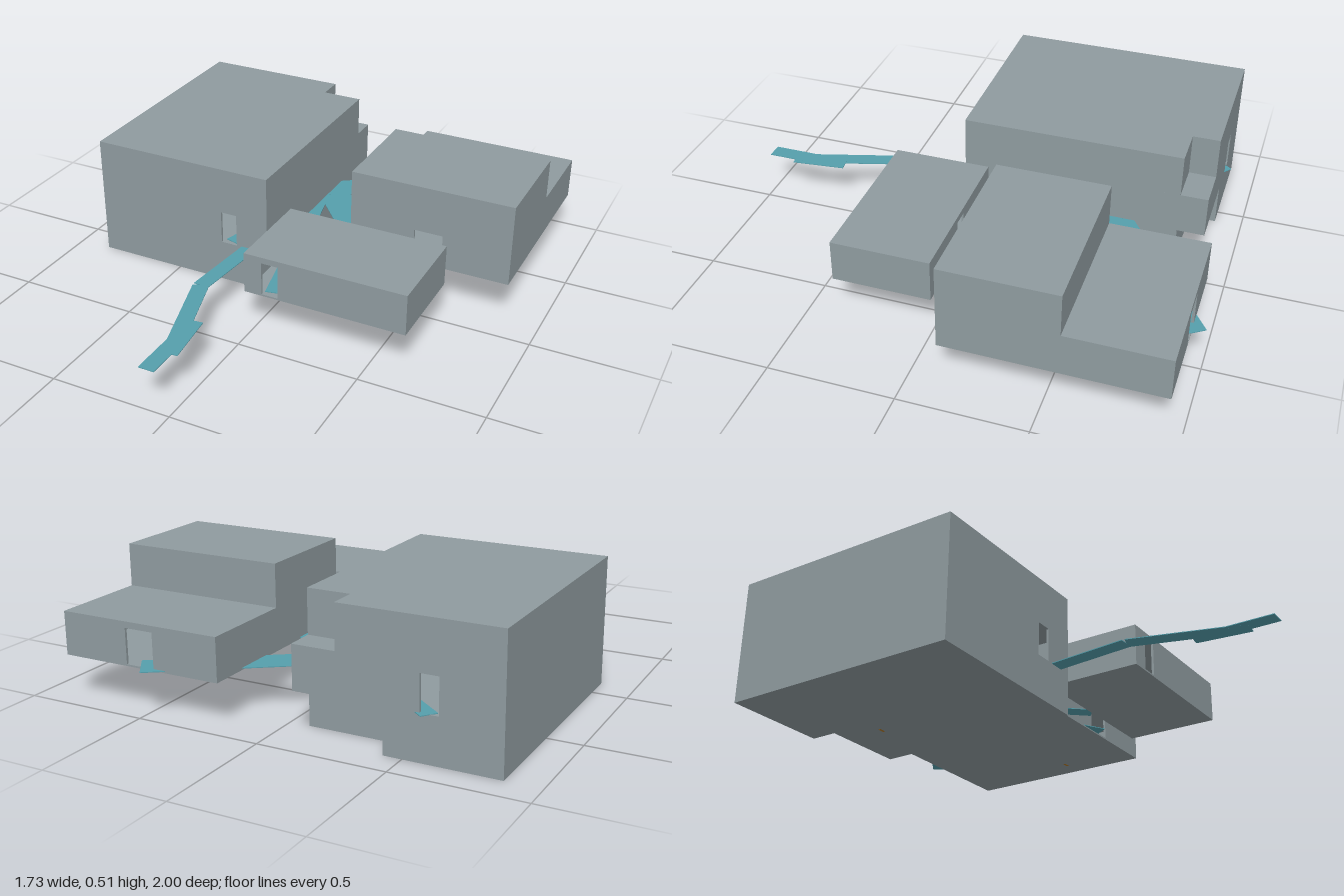
import * as THREE from 'three';

const STOREY = 0.17, WALL = 0.01, SLAB = 0.005;

export function createModel() {
  const model = new THREE.Group();
  model.name = 'houseComplex';
  const grey = new THREE.MeshStandardMaterial({ color: 0x8f9b9f });
  grey.name = 'concreteGrey';
  const teal = new THREE.MeshStandardMaterial({ color: 0x559fac });
  teal.name = 'pathTeal';
  const orange = new THREE.MeshStandardMaterial({ color: 0xb07a2c });
  orange.name = 'markerOrange';

  const add = (parent, geo, mat, name) => {
    const mesh = new THREE.Mesh(geo, mat);
    mesh.name = name;
    parent.add(mesh);
    return mesh;
  };

  // Horizontal plate with the outline given as [x, z] points
  function slab(parent, outline, y, name) {
    const shape = new THREE.Shape(outline.map(([x, z]) => new THREE.Vector2(x, -z)));
    const geo = new THREE.ExtrudeGeometry(shape, { depth: SLAB, bevelEnabled: false });
    geo.rotateX(-Math.PI / 2);
    add(parent, geo, grey, name).position.y = y;
  }

  // Upright wall from a to b, with an opening for each door lying on it
  function wall(parent, a, b, y0, y1, doors) {
    const dx = b[0] - a[0], dz = b[1] - a[1], len = Math.hypot(dx, dz);
    const shape = new THREE.Shape();
    shape.moveTo(0, y0).lineTo(len, y0).lineTo(len, y1).lineTo(0, y1).closePath();
    for (const [x, z, w] of doors) {
      const along = ((x - a[0]) * dx + (z - a[1]) * dz) / len;
      const off = Math.abs((x - a[0]) * dz - (z - a[1]) * dx) / len;
      if (off > 0.005 || along < w || along > len - w) continue;
      const l = along - w / 2, r = along + w / 2, bot = y0 + 0.007, top = y0 + 0.145;
      const hole = new THREE.Path();
      hole.moveTo(l, bot).lineTo(l, top).lineTo(r, top).lineTo(r, bot).closePath();
      shape.holes.push(hole);
    }
    const geo = new THREE.ExtrudeGeometry(shape, { depth: WALL, bevelEnabled: false });
    geo.translate(0, 0, -WALL);
    const mesh = add(parent, geo, grey, 'wall');
    mesh.position.set(a[0], 0, a[1]);
    mesh.rotation.y = Math.atan2(-dz, dx);
  }

  // One hollow storey: floor, roof and walls round the outline
  function storey(parent, outline, level, doors = []) {
    const y0 = level * STOREY, y1 = y0 + STOREY;
    slab(parent, outline, y0, 'floor');
    slab(parent, outline, y1 - SLAB, 'roof');
    outline.forEach((p, i) => wall(parent, p, outline[(i + 1) % outline.length], y0, y1, doors));
  }

  const rect = (x0, x1, z0, z1) => [[x0, z1], [x1, z1], [x1, z0], [x0, z0]];
  // Rectangle with its back left corner cut away
  const notched = (x0, x1, z0, z1, nx, nz) =>
    [[x0, z1], [x1, z1], [x1, nz], [nx, nz], [nx, z0], [x0, z0]];
  const building = (name) => {
    const g = new THREE.Group();
    g.name = name;
    model.add(g);
    return g;
  };

  // Tall building, three storeys with stepped back corner
  const tall = building('tallBuilding');
  storey(tall, notched(-0.865, -0.08, -0.89, 0.11, -0.43, -0.78), 0);
  storey(tall, rect(-0.865, -0.08, -0.89, 0.11), 1, [[-0.255, 0.11, 0.07], [-0.6, -0.89, 0.07]]);
  storey(tall, notched(-0.865, -0.08, -0.89, 0.11, -0.25, -0.78), 2);

  // Stepped building, low behind and high in front
  const stepped = building('steppedBuilding');
  storey(stepped, rect(0.19, 0.865, -0.95, -0.11), 1, [[0.525, -0.95, 0.12], [0.525, -0.11, 0.12]]);
  storey(stepped, rect(0.19, 0.865, -0.56, -0.11), 2);

  // Low building at the front
  const low = building('lowBuilding');
  storey(low, rect(-0.03, 0.64, -0.005, 0.39), 1, [[0.08, 0.39, 0.07], [0.305, -0.005, 0.07]]);

  // Flat footpaths: [x0, z0, x1, z1, width]
  const paths = new THREE.Group();
  paths.name = 'footpaths';
  model.add(paths);
  [
    [-0.12, -0.5, 0.525, -0.947, 0.13],
    [-0.12, -0.505, 0.525, -0.115, 0.135],
    [-0.065, -0.44, 0.305, -0.012, 0.065],
    [-0.105, -0.47, 0.08, 0.36, 0.065],
    [-0.11, -0.5, -0.6, -0.89, 0.065],
    [-0.1, -0.48, -0.25, 0.09, 0.065],
    [-0.11, -0.48, -0.195, 0.44, 0.065],
    [-0.195, 0.44, -0.085, 0.805, 0.065],
    [-0.087, 0.664, -0.062, 0.884, 0.065],
    [-0.085, 0.79, -0.085, 1.0, 0.065],
  ].forEach(([x0, z0, x1, z1, w], i) => {
    const geo = new THREE.BoxGeometry(Math.hypot(x1 - x0, z1 - z0), 0.003, w);
    const m = add(paths, geo, teal, 'path');
    m.position.set((x0 + x1) / 2, STOREY + 0.0065 + i * 0.0001, (z0 + z1) / 2);
    m.rotation.y = Math.atan2(z0 - z1, x1 - x0);
  });

  // Small markers under two of the floors
  [[-0.35, 0, -0.6], [0.765, STOREY, -0.43]].forEach(([x, y, z]) => {
    add(model, new THREE.BoxGeometry(0.03, 0.002, 0.012), orange, 'floorMarker').position.set(x, y + 0.0005, z);
  });

  return model;
}
